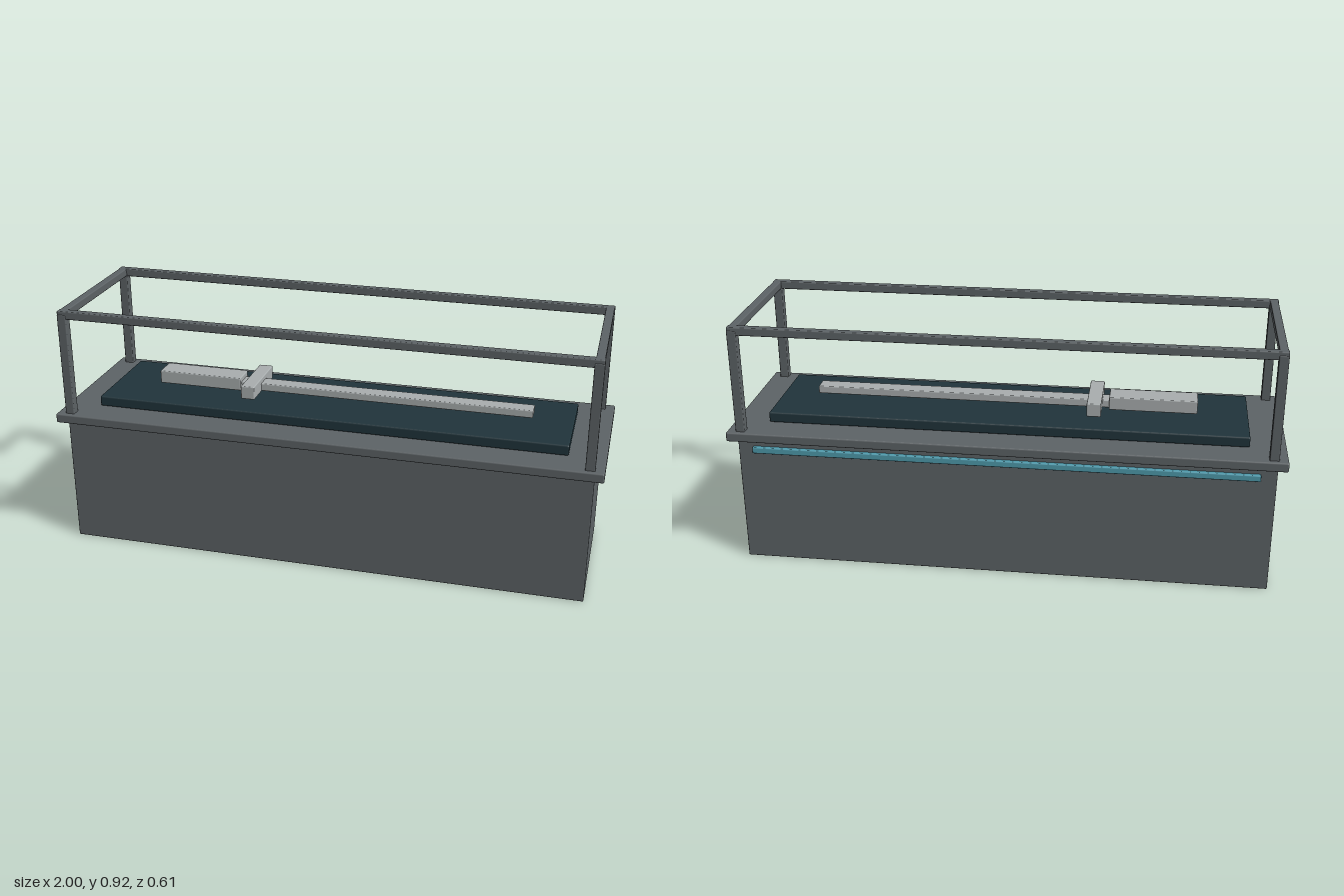
import * as THREE from 'three';
import { RoundedBoxGeometry } from 'three/addons/geometries/RoundedBoxGeometry.js';

const material = (name, color) => {
  const m = new THREE.MeshStandardMaterial({ color });
  m.name = name;
  return m;
};

export function createModel() {
  const model = new THREE.Group();
  model.name = 'displayCase';

  const frameGrey = material('frame grey', 0x5d6366);
  const cushionTeal = material('dark cushion', 0x20343b);
  const paleMetal = material('pale metal', 0xa9aeaf);
  const stripBlue = material('strip blue', 0x4f9bad);

  // Softly bevelled box given by its extents on each axis
  const box = (name, mat, [x0, x1], [y0, y1], [z0, z1], bevel = 0.004, parent = model) => {
    const mesh = new THREE.Mesh(new RoundedBoxGeometry(x1 - x0, y1 - y0, z1 - z0, 2, bevel), mat);
    mesh.position.set((x0 + x1) / 2, (y0 + y1) / 2, (z0 + z1) / 2);
    mesh.name = name;
    parent.add(mesh);
    return mesh;
  };

  // Plinth, overhanging top slab and cushion
  box('plinth', frameGrey, [-0.967, 0.967], [0, 0.49], [-0.273, 0.273]);
  box('topSlab', frameGrey, [-1, 1], [0.485, 0.52], [-0.305, 0.305], 0.006);
  box('cushion', cushionTeal, [-0.87, 0.87], [0.521, 0.56], [-0.193, 0.193], 0.006);

  // Open frame: four posts, long rails and end rails
  const frame = new THREE.Group();
  frame.name = 'openFrame';
  model.add(frame);
  const span = (c, w) => [c - w / 2, c + w / 2];
  for (const s of [-1, 1]) {
    for (const t of [-1, 1]) {
      box('post', frameGrey, span(s * 0.95, 0.034), [0.515, 0.904], span(t * 0.272, 0.034), 0.004, frame);
    }
    box('longRail', frameGrey, [-0.967, 0.967], [0.887, 0.917], span(s * 0.272, 0.03), 0.004, frame);
    box('endRail', frameGrey, span(s * 0.95, 0.03), [0.887, 0.917], [-0.287, 0.287], 0.004, frame);
  }

  // Exhibited sword, hovering just above the cushion
  const sword = new THREE.Group();
  sword.name = 'sword';
  model.add(sword);
  box('grip', paleMetal, [-0.685, -0.365], [0.575, 0.624], [-0.045, 0.045], 0.004, sword);
  box('crossGuard', paleMetal, [-0.34, -0.288], [0.574, 0.624], [-0.115, 0.115], 0.004, sword);
  box('blade', paleMetal, [-0.37, 0.725], [0.577, 0.606], [-0.03, 0.03], 0.004, sword);

  // Slim strip fixed to the back of the plinth
  box('backStrip', stripBlue, [-0.91, 0.91], [0.437, 0.461], [-0.292, -0.274], 0.004);

  return model;
}
